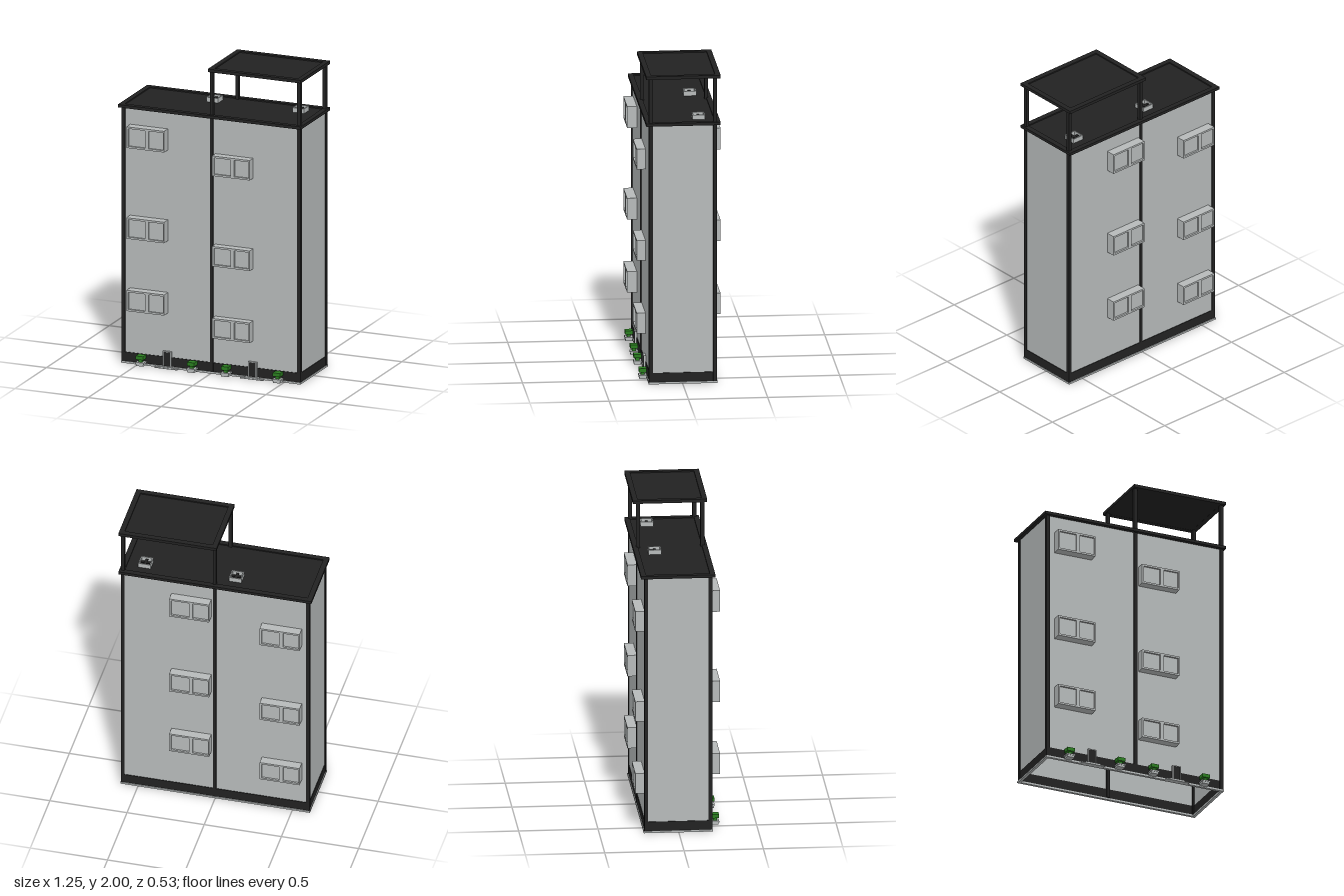
import * as THREE from 'three';

const mat = (name, color) => {
  const m = new THREE.MeshStandardMaterial({ color });
  m.name = name;
  return m;
};

export function createModel() {
  const grey = mat('concrete grey', 0xb6baba);
  const dark = mat('charcoal', 0x222222);
  const green = mat('leaf green', 0x2a7d20);
  const root = new THREE.Group();
  root.name = 'apartmentBlock';

  const add = (parent, name, geo, material) => {
    const m = new THREE.Mesh(geo, material);
    m.name = name;
    parent.add(m);
    return m;
  };
  // box given by its limits on each axis
  const box = (parent, name, material, x0, x1, y0, y1, z0, z1) => {
    const g = new THREE.BoxGeometry(x1 - x0, y1 - y0, z1 - z0);
    g.translate((x0 + x1) / 2, (y0 + y1) / 2, (z0 + z1) / 2);
    return add(parent, name, g, material);
  };
  const rect = (T, x0, x1, y0, y1) => {
    const s = new T();
    s.moveTo(x0, y0);
    s.lineTo(x1, y0);
    s.lineTo(x1, y1);
    s.lineTo(x0, y1);
    s.closePath();
    return s;
  };
  // hollow rectangular band, t thick, rising from y0 to y1
  const ring = (parent, name, material, x0, x1, y0, y1, z0, z1, t) => {
    const s = rect(THREE.Shape, x0, x1, -z1, -z0);
    s.holes.push(rect(THREE.Path, x0 + t, x1 - t, -z1 + t, -z0 - t));
    const g = new THREE.ExtrudeGeometry(s, { depth: y1 - y0, bevelEnabled: false });
    g.rotateX(-Math.PI / 2);
    g.translate(0, y0, 0);
    return add(parent, name, g, material);
  };

  // Shell, open underneath
  ring(root, 'walls', grey, -0.604, 0.606, 0.07, 1.68, -0.211, 0.204, 0.006);
  ring(root, 'plinth', dark, -0.608, 0.61, 0.012, 0.072, -0.215, 0.208, 0.012);
  ring(root, 'baseEdge', grey, -0.614, 0.614, 0, 0.012, -0.221, 0.214, 0.018);

  // Posts; those on the right half carry the canopy
  for (const [z0, z1] of [[-0.217, -0.193], [0.188, 0.212]]) {
    box(root, 'cornerPost', dark, -0.611, -0.588, 0.012, 1.68, z0, z1);
    box(root, 'middlePost', dark, -0.006, 0.016, 0.012, 1.985, z0, z1);
    box(root, 'canopyPost', dark, 0.589, 0.612, 0.012, 1.985, z0, z1);
  }

  // Flat roofs with a raised rim
  const roof = (name, x0, x1, y0, y1) => {
    const g = new THREE.Group();
    g.name = name;
    root.add(g);
    ring(g, name + 'Rim', dark, x0, x1, y0, y1, -0.239, 0.23, 0.033);
    box(g, name + 'Deck', dark, x0 + 0.033, x1 - 0.033, y0 + 0.001, y1 - 0.008, -0.206, 0.197);
  };
  roof('mainRoof', -0.628, 0.622, 1.676, 1.695);
  roof('canopyRoof', -0.013, 0.622, 1.98, 2);

  // Roof vents: open boxes with a crossed fan
  for (const x of [-0.112, 0.476]) {
    const g = new THREE.Group();
    g.name = 'roofVent';
    root.add(g);
    ring(g, 'ventCasing', grey, x - 0.04, x + 0.04, 1.685, 1.717, -0.151, -0.071, 0.007);
    box(g, 'ventBlade', dark, x - 0.033, x + 0.033, 1.7, 1.705, -0.119, -0.103);
    box(g, 'ventBlade', dark, x - 0.008, x + 0.008, 1.7, 1.705, -0.144, -0.078);
  }

  // Projecting window bays with two recessed panes
  const bay = (x, y0, y1, z, back) => {
    const g = new THREE.Group();
    g.name = 'windowBay';
    const h = y1 - y0;
    const s = rect(THREE.Shape, -0.129, 0.129, 0, h);
    s.holes.push(rect(THREE.Path, -0.116, -0.002, 0.012, h - 0.012));
    s.holes.push(rect(THREE.Path, 0.022, 0.122, 0.012, h - 0.012));
    const frame = new THREE.ExtrudeGeometry(s, { depth: 0.012, bevelEnabled: false });
    frame.translate(0, 0, -0.012);
    add(g, 'windowFrame', frame, grey);
    box(g, 'windowBody', grey, -0.129, 0.129, 0, h, -0.062, -0.012);
    g.position.set(x, y0, z);
    if (back) g.rotation.y = Math.PI;
    root.add(g);
  };
  const high = [[1.428, 1.567], [0.833, 0.971], [0.359, 0.495]];
  const low = [[1.312, 1.443], [0.719, 0.85], [0.246, 0.378]];
  for (const [a, b] of high) {
    bay(-0.426, a, b, 0.265, false);
    bay(0.156, a, b, -0.27, true);
  }
  for (const [a, b] of low) {
    bay(0.157, a, b, 0.259, false);
    bay(-0.43, a, b, -0.27, true);
  }

  // Entrances
  for (const x of [-0.298, 0.287]) {
    const g = new THREE.Group();
    g.name = 'entrance';
    root.add(g);
    box(g, 'door', dark, x - 0.023, x + 0.023, 0.012, 0.108, 0.2, 0.218);
    for (const d of [-0.026, 0.026]) {
      box(g, 'doorJamb', grey, x + d - 0.003, x + d + 0.003, 0.008, 0.108, 0.205, 0.22);
    }
    box(g, 'doorLintel', grey, x - 0.029, x + 0.029, 0.106, 0.111, 0.205, 0.22);
    box(g, 'doorStep', grey, x - 0.05, x + 0.05, 0, 0.014, 0.21, 0.232);
    box(g, 'doorPath', grey, x - 0.078, x + 0.078, 0, 0.007, 0.21, 0.235);
  }

  // Potted shrubs along the front
  for (const x of [-0.466, -0.116, 0.116, 0.47]) {
    const g = new THREE.Group();
    g.name = 'planter';
    root.add(g);
    box(g, 'pot', grey, x - 0.024, x + 0.024, 0.006, 0.026, 0.217, 0.262);
    box(g, 'potRim', grey, x - 0.028, x + 0.028, 0.02, 0.03, 0.214, 0.265);
    box(g, 'stem', green, x - 0.012, x + 0.012, 0.028, 0.05, 0.228, 0.252);
    box(g, 'shrub', green, x - 0.025, x + 0.025, 0.048, 0.072, 0.216, 0.264);
  }
  return root;
}
